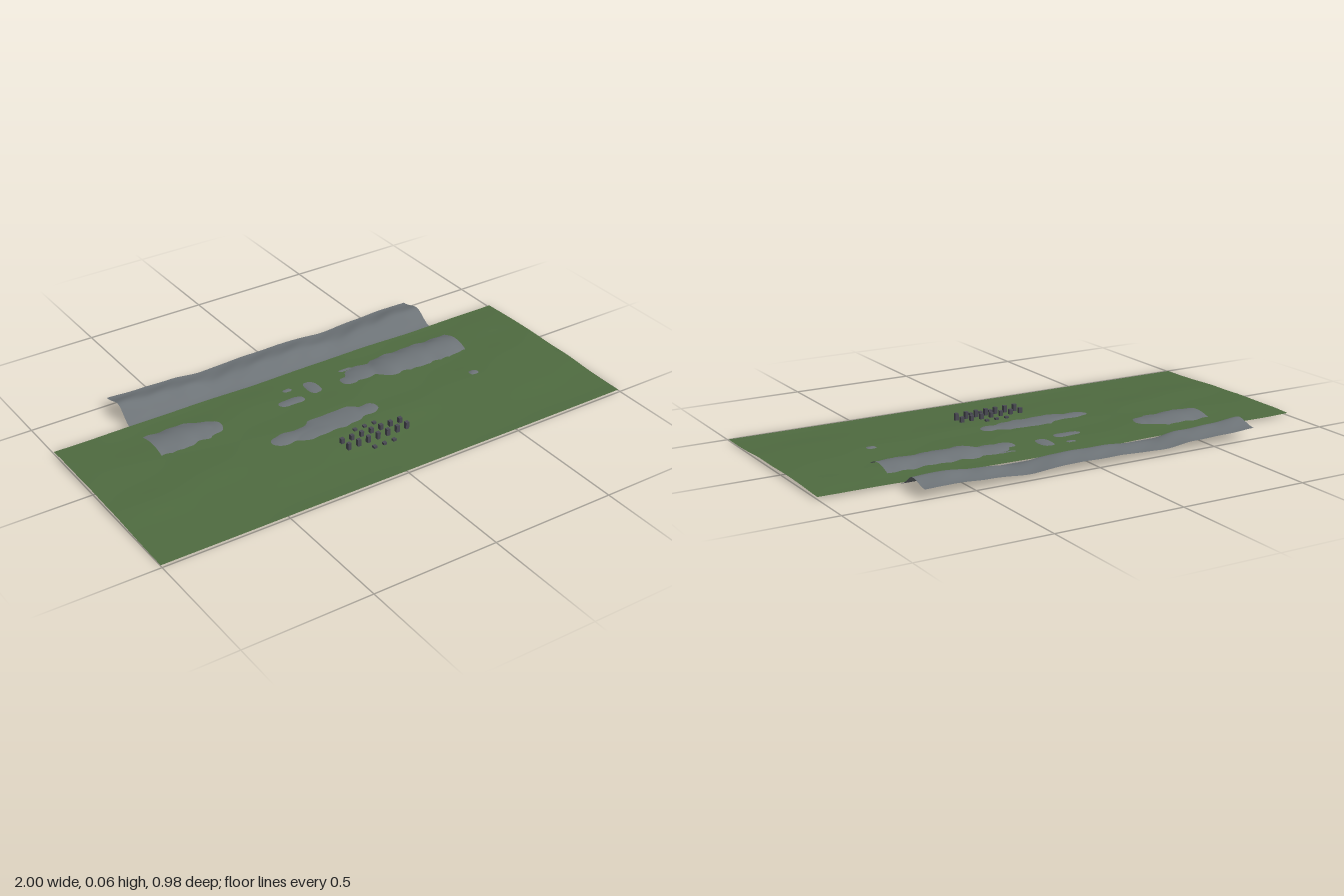
import * as THREE from 'three';

const material = (name, color, side = THREE.DoubleSide) => {
  const m = new THREE.MeshStandardMaterial({ color, side });
  m.name = name;
  return m;
};

// Gentle rolling meadow: low and flat at the front, slightly higher in the middle
function groundHeight(x, z) {
  const rise = 1 - THREE.MathUtils.smoothstep(z, 0.12, 0.44);
  const back = THREE.MathUtils.smoothstep(-z, 0.1, 0.31);
  const wave = Math.sin(x * 9 + 1.3 * Math.sin(z * 8)) * 0.5
    + Math.sin(x * 17 - z * 21 + 1) * 0.3 + Math.sin(z * 27 + x * 6 + 2) * 0.35;
  return 0.003 + 0.0105 * rise - 0.005 * back + 0.0025 * wave * (0.15 + 0.85 * rise);
}

// Height of rock above (or below) the meadow; each bump is [x, z, rx, rz, height]
function rockOffset(bumps, x, z) {
  let best = -0.0035;
  const wobble = 0.14 * Math.sin(x * 47 + z * 19) + 0.12 * Math.sin(x * 83 - z * 61);
  for (const [bx, bz, rx, rz, h] of bumps) {
    const d = ((x - bx) / rx) ** 4 + ((z - bz) / rz) ** 2;
    best = Math.max(best, h * (1 - d + wobble * Math.min(1, d)));
  }
  return best;
}

// Linear interpolation in a short list of [position, value]
function lerpTable(table, t) {
  let i = 0;
  while (i < table.length - 2 && t > table[i + 1][0]) i++;
  const [a, va] = table[i], [b, vb] = table[i + 1];
  return va + (vb - va) * THREE.MathUtils.smoothstep(t, a, b);
}

// Rectangular sheet whose vertices are lifted by a height rule
function sheet(name, x0, x1, z0, z1, nx, nz, height, mat) {
  const g = new THREE.PlaneGeometry(x1 - x0, z1 - z0, nx, nz);
  g.rotateX(-Math.PI / 2);
  g.translate((x0 + x1) / 2, 0, (z0 + z1) / 2);
  const p = g.attributes.position;
  for (let i = 0; i < p.count; i++) p.setY(i, Math.max(0, height(p.getX(i), p.getZ(i))));
  g.computeVertexNormals();
  const mesh = new THREE.Mesh(g, mat);
  mesh.name = name;
  return mesh;
}

export function createModel() {
  const model = new THREE.Group();
  model.name = 'landscape';
  const grass = material('grass green', 0x4f6b40);
  const rock = material('rock grey', 0x6d7377);
  const stone = material('dark stone', 0x4a4a54, THREE.FrontSide);

  model.add(sheet('meadow', -1, 1, -0.31, 0.49, 120, 48, groundHeight, grass));

  // Tall ridge behind the meadow: crest line along x, cross-section along z
  const crest = [[-0.69, 0.062], [-0.55, 0.052], [-0.42, 0.049], [-0.28, 0.03], [-0.08, 0.043],
    [0.12, 0.044], [0.28, 0.029], [0.45, 0.044], [0.58, 0.055], [0.69, 0.05]];
  const section = [[-0.49, 0.62], [-0.4, 1], [-0.31, 0.0]];
  model.add(sheet('backRidge', -0.69, 0.69, -0.49, -0.31, 90, 18, (x, z) => {
    const ripple = 0.0015 * Math.sin(x * 31 + z * 40) * Math.sin(z * 23 + x * 11);
    const s = lerpTable(section, z);
    return 0.005 + (lerpTable(crest, x) - 0.005) * s + ripple * s;
  }, rock));

  // Middle ridge, breaking through the grass in places
  const middleBumps = [
    [-0.7, -0.14, 0.27, 0.08, 0.016], [-0.5, -0.125, 0.1, 0.045, 0.006],
    [0.5, -0.14, 0.25, 0.08, 0.017], [0.28, -0.15, 0.11, 0.05, 0.007],
    [0.65, -0.14, 0.2, 0.075, 0.019], [0.17, -0.13, 0.035, 0.03, 0.003],
    [-0.1, -0.12, 0.055, 0.022, 0.003], [0.025, -0.165, 0.028, 0.045, 0.003],
    [-0.07, -0.2, 0.02, 0.012, 0.002], [0.2, -0.205, 0.03, 0.01, 0.002],
  ];
  model.add(sheet('middleRidge', -0.69, 0.69, -0.21, -0.06, 140, 20,
    (x, z) => groundHeight(x, z) + rockOffset(middleBumps, x, z), rock));

  // Front ridge
  const frontBumps = [
    [-0.03, 0.08, 0.13, 0.055, 0.006], [-0.2, 0.088, 0.12, 0.034, 0.005],
    [-0.13, 0.1, 0.11, 0.04, 0.005], [0.09, 0.085, 0.06, 0.032, 0.004],
    [0.605, 0.092, 0.02, 0.016, 0.003],
  ];
  model.add(sheet('frontRidge', -0.69, 0.69, 0.03, 0.145, 140, 18,
    (x, z) => groundHeight(x, z) + rockOffset(frontBumps, x, z), rock));

  // Cluster of small standing stones: [z, height, stones either side of the middle]
  const stones = new THREE.Group();
  stones.name = 'standingStones';
  for (const [z, h, n] of [[0.18, 0.021, 1], [0.223, 0.033, 3], [0.267, 0.037, 3], [0.308, 0.016, 1]]) {
    for (let i = -n; i <= n; i++) {
      const block = new THREE.Mesh(new THREE.BoxGeometry(0.014, h, 0.014), stone);
      block.name = 'standingStone';
      block.position.set(0.029 + i * 0.043, h / 2, z);
      stones.add(block);
    }
  }
  model.add(stones);
  return model;
}
